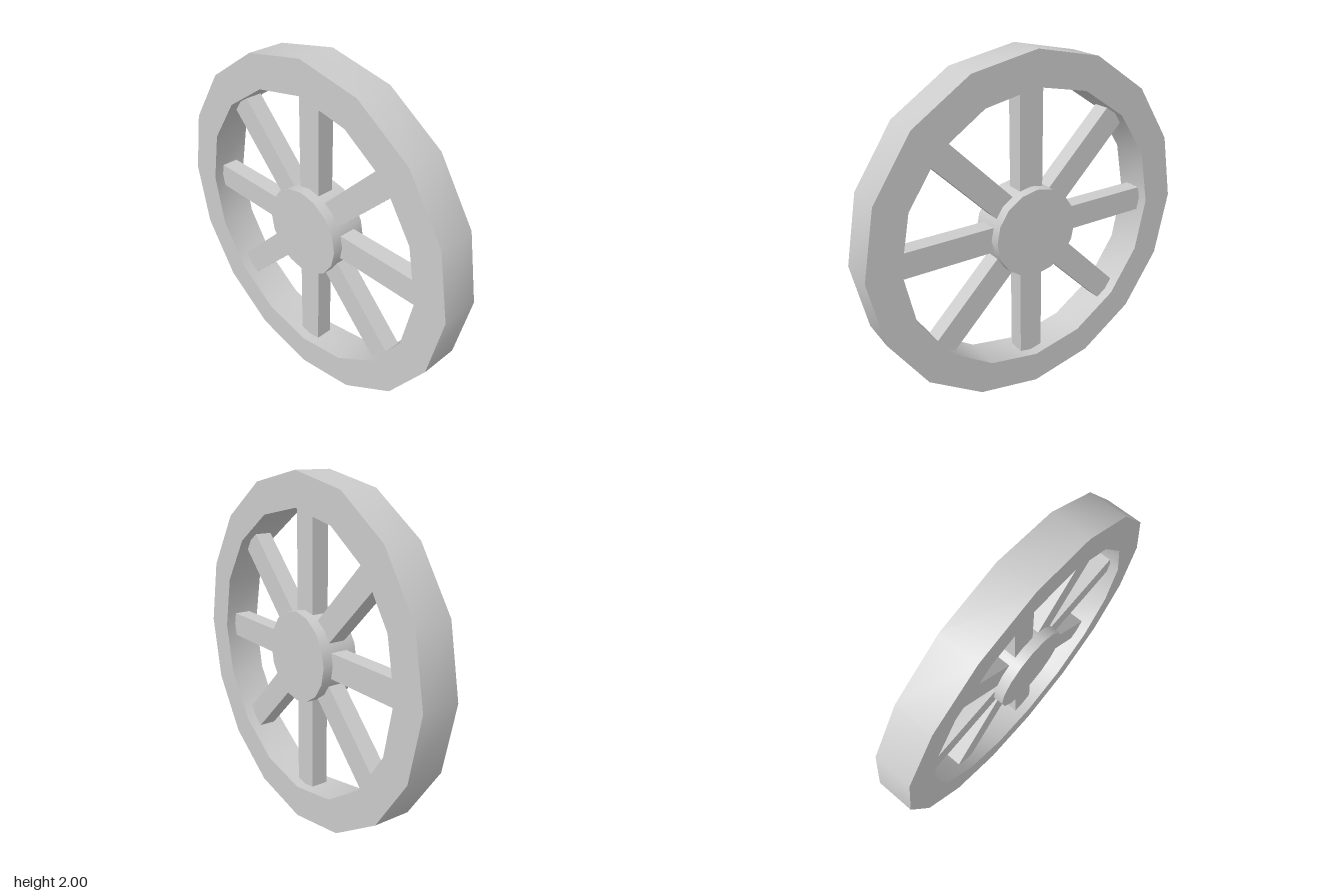
import * as THREE from 'three';
import { toCreasedNormals } from 'three/addons/utils/BufferGeometryUtils.js';

const SIDES = 16;
const WIDTH = 0.22;
const SPOKES = 8;

// Corners of a regular polygon, with one corner on each axis
function polygon(radius) {
  return Array.from({ length: SIDES }, (_, i) => {
    const a = (i / SIDES) * Math.PI * 2;
    return new THREE.Vector2(radius * Math.cos(a), radius * Math.sin(a));
  });
}

// Extrudes a shape across the wheel's width, with the axle along x
function slab(shape) {
  const geometry = new THREE.ExtrudeGeometry(shape, { depth: WIDTH, bevelEnabled: false });
  geometry.translate(0, 0, -WIDTH / 2);
  geometry.rotateY(Math.PI / 2);
  return toCreasedNormals(geometry, 0.6);
}

export function createModel() {
  const wheel = new THREE.Group();
  wheel.name = 'wheel';
  const material = new THREE.MeshStandardMaterial({ color: 0xcccccc });

  const add = (name, geometry) => {
    const mesh = new THREE.Mesh(geometry, material);
    mesh.name = name;
    wheel.add(mesh);
    return mesh;
  };

  // Rim: faceted ring
  const ring = new THREE.Shape(polygon(1));
  ring.holes.push(new THREE.Path(polygon(0.81).reverse()));
  add('rim', slab(ring));

  // Hub: disc flush with the rim
  add('hub', slab(new THREE.Shape(polygon(0.258))));

  // Spokes: run from inside the hub into the rim
  const inner = 0.15, outer = 0.84;
  const spoke = new THREE.BoxGeometry(0.1, outer - inner, 0.145);
  spoke.translate(0, (inner + outer) / 2, 0);
  for (let i = 0; i < SPOKES; i++) {
    add('spoke' + (i + 1), spoke).rotation.x = (i / SPOKES) * Math.PI * 2;
  }

  wheel.position.y = 1;
  const model = new THREE.Group();
  model.name = 'spokedWheel';
  model.add(wheel);
  return model;
}
